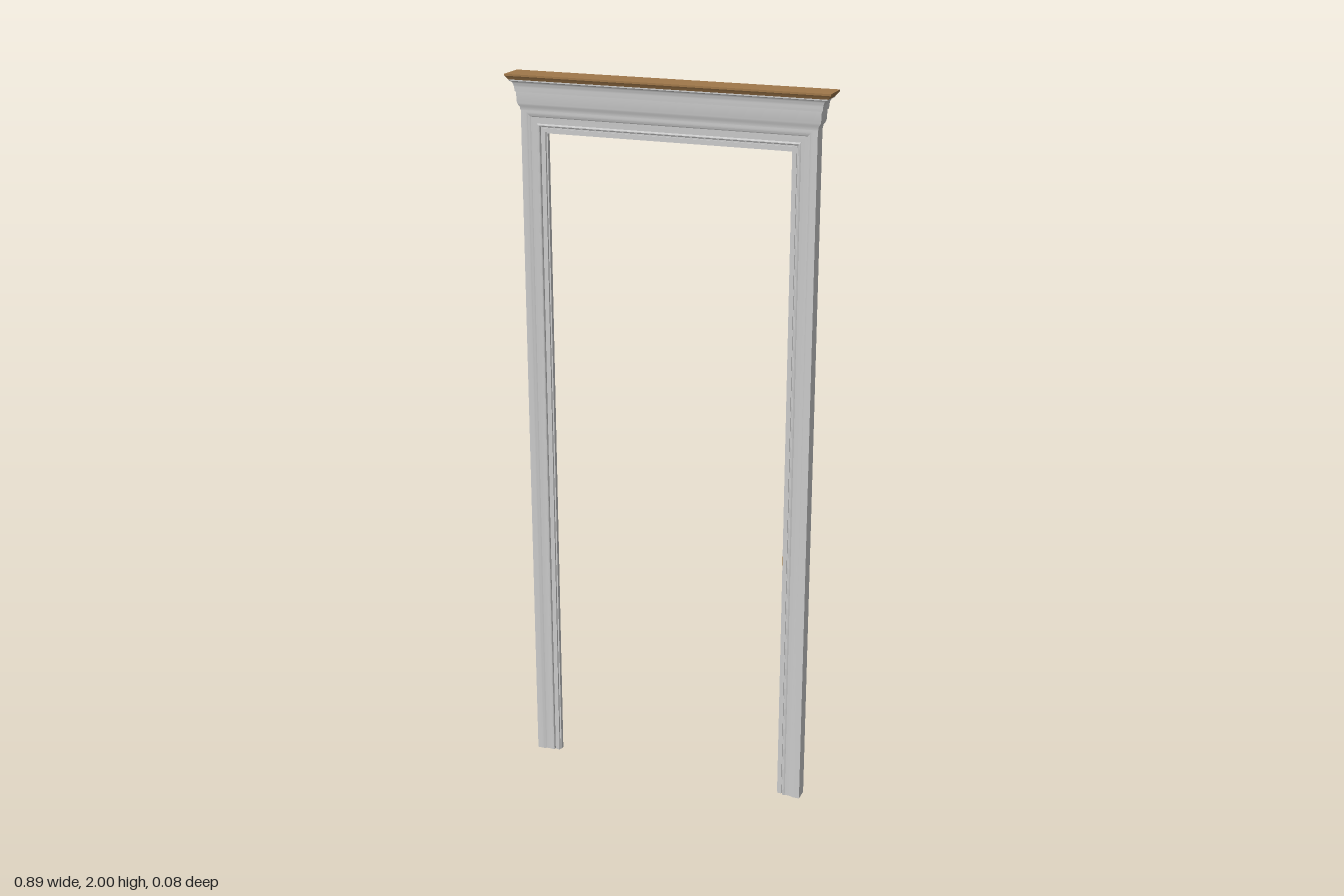
import * as THREE from 'three';
import { toCreasedNormals } from 'three/addons/utils/BufferGeometryUtils.js';

const grey = new THREE.MeshStandardMaterial({ color: 0xcccccc });
const wood = new THREE.MeshStandardMaterial({ color: 0xa0784a });
const brass = new THREE.MeshStandardMaterial({ color: 0xb9853f });

// Skin matching rings of points; the counter-clockwise contour closes both ends.
function loft(rings, contour) {
  const n = contour.length, last = rings.length - 1, pos = [];
  const tri = (a, b, c) => pos.push(...a, ...b, ...c);
  for (let i = 0; i < last; i++) {
    for (let j = 0; j < n; j++) {
      const k = (j + 1) % n;
      tri(rings[i][j], rings[i][k], rings[i + 1][k]);
      tri(rings[i][j], rings[i + 1][k], rings[i + 1][j]);
    }
  }
  for (const [a, b, c] of THREE.ShapeUtils.triangulateShape(contour, [])) {
    tri(rings[0][c], rings[0][b], rings[0][a]);
    tri(rings[last][a], rings[last][b], rings[last][c]);
  }
  const g = new THREE.BufferGeometry();
  g.setAttribute('position', new THREE.Float32BufferAttribute(pos, 3));
  return toCreasedNormals(g, 0.5);
}

// Stack of rectangles [y, half width, half depth].
function rectStack(levels) {
  const corners = [[-1, -1], [1, -1], [1, 1], [-1, 1]];
  const rings = levels.map(([y, w, d]) => corners.map(([x, z]) => [x * w, y, -z * d]));
  return loft(rings, corners.map(([x, z]) => new THREE.Vector2(x, z)));
}

function add(group, name, geometry, material) {
  const mesh = new THREE.Mesh(geometry, material);
  mesh.name = name;
  group.add(mesh);
  return mesh;
}

export function createModel() {
  const group = new THREE.Group();
  group.name = 'doorFrame';

  // Moulded frame: half profile [distance from opening, depth], mirrored front to back
  const half = [
    [0, 0.006], [0.004, 0.006], [0.004, 0.012], [0.014, 0.012], [0.014, 0.009], [0.018, 0.009],
    [0.018, 0.014], [0.0195, 0.0165], [0.022, 0.0175], [0.0245, 0.0165], [0.026, 0.015],
    [0.043, 0.016], [0.046, 0.018], [0.05, 0.0195], [0.055, 0.02], [0.07, 0.02],
  ];
  const profile = [
    ...half.map(([o, z]) => new THREE.Vector2(o, -z)),
    ...half.slice().reverse().map(([o, z]) => new THREE.Vector2(o, z)),
  ];
  const a = 0.338, b = 1.845;
  // Mitred stations: left foot, two top corners, right foot
  const stations = [[-1, 0], [-1, 1], [1, 1], [1, 0]];
  const rings = stations.map(([s, top]) =>
    profile.map((p) => [s * (a + p.x), top * (b + p.x), p.y]));
  add(group, 'casing', loft(rings, profile), grey);

  // Cornice: level [height, outward offset] with a rolled base and a cove above
  const levels = [
    [1.905, 0], [1.914, 0.001], [1.918, 0.004], [1.923, 0.006], [1.928, 0.007],
    [1.953, 0.008], [1.953, 0.01], [1.959, 0.011],
  ];
  for (let i = 0; i <= 6; i++) {
    const t = (i / 6) * Math.PI / 2;
    levels.push([1.96 + 0.022 * Math.sin(t), 0.011 + 0.011 * (1 - Math.cos(t))]);
  }
  levels.push([1.985, 0.022]);
  add(group, 'cornice', rectStack(levels.map(([y, o]) => [y, 0.409 + o * 1.15, 0.02 + o * 0.65])), grey);

  // Flared wooden cap
  add(group, 'topCap', rectStack([
    [1.984, 0.435, 0.032], [1.988, 0.438, 0.034], [1.995, 0.444, 0.039], [2, 0.445, 0.039],
  ]), wood);

  // Small strike plate on the left jamb
  const plate = add(group, 'strikePlate', new THREE.BoxGeometry(0.003, 0.025, 0.01), brass);
  plate.position.set(a - 0.0005, 0.72, 0);
  return group;
}
